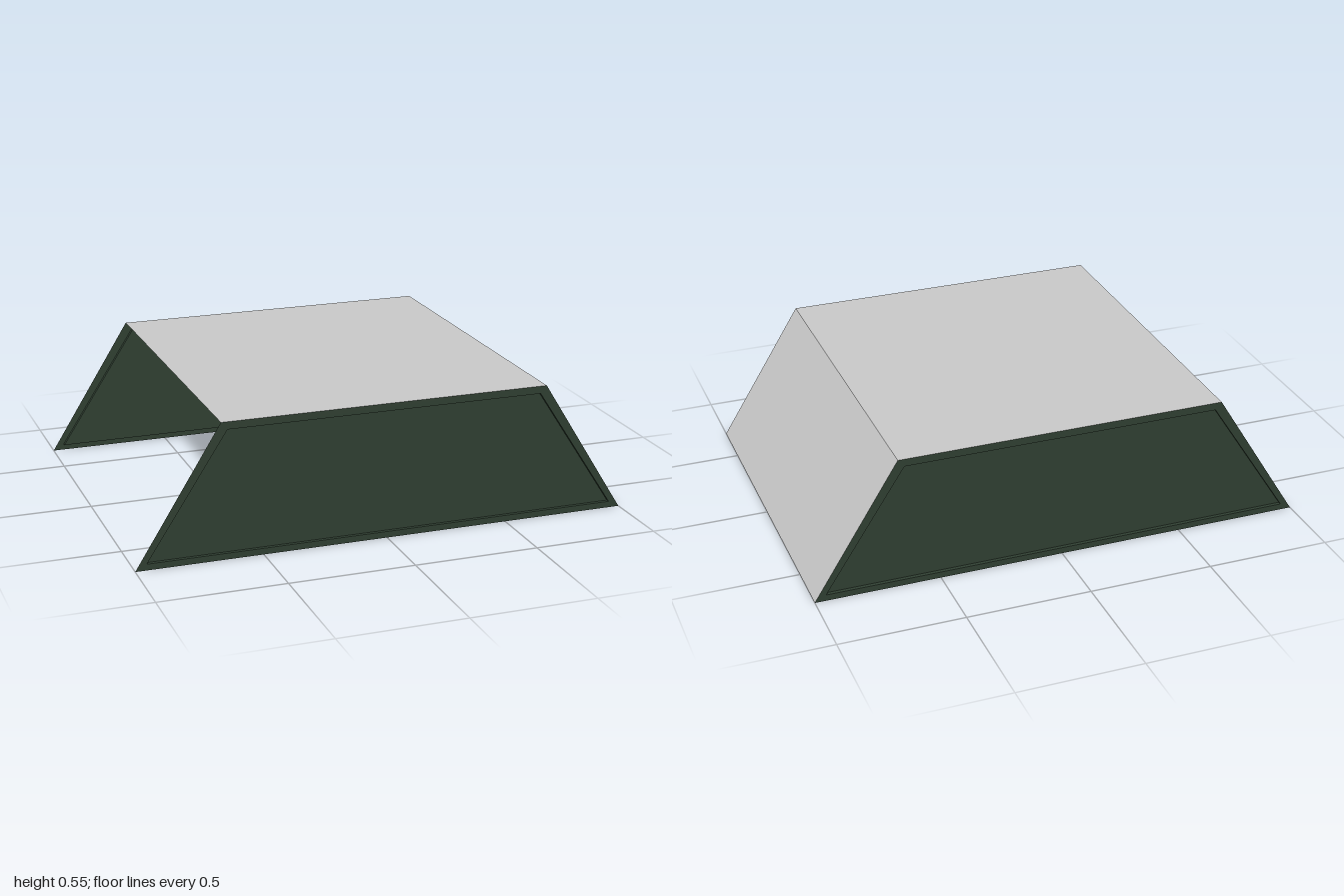
import * as THREE from 'three';

const DEPTH = 0.71;    // half depth of the shell
const RECESS = 0.015;  // how far the side panels are set in

// Corners of the trapezoid, counter-clockwise seen from +z
const OUTER = [[-1, 0], [1, 0], [0.66, 0.545], [-0.66, 0.545]];
const INNER = [[-0.955, 0.025], [0.955, 0.025], [0.635, 0.515], [-0.635, 0.515]];

const grey = new THREE.MeshStandardMaterial({ color: 0xcccccc, side: THREE.DoubleSide, flatShading: true });
const green = new THREE.MeshStandardMaterial({ color: 0x314133, side: THREE.DoubleSide, flatShading: true });

// Flat four-cornered faces, each given as a counter-clockwise list of points
function quads(name, material, faces) {
  const positions = faces.flatMap(([a, b, c, d]) => [a, b, c, a, c, d].flat());
  const geometry = new THREE.BufferGeometry();
  geometry.setAttribute('position', new THREE.Float32BufferAttribute(positions, 3));
  geometry.computeVertexNormals();
  const mesh = new THREE.Mesh(geometry, material);
  mesh.name = name;
  return mesh;
}

// Green end wall: flat rim, short step inwards, recessed panel
function endWall(name) {
  const rim = OUTER.map(([x, y]) => [x, y, DEPTH]);
  const lip = INNER.map(([x, y]) => [x, y, DEPTH]);
  const back = INNER.map(([x, y]) => [x, y, DEPTH - RECESS]);
  const ring = (a, b) => a.map((p, i) => [p, a[(i + 1) % 4], b[(i + 1) % 4], b[i]]);
  const wall = new THREE.Group();
  wall.name = name;
  wall.add(
    quads('rim', green, ring(rim, lip)),
    quads('recessStep', green, ring(lip, back)),
    quads('recessedPanel', green, [back])
  );
  return wall;
}

export function createModel() {
  const model = new THREE.Group();
  model.name = 'taperedShell';

  // Flat roof and one sloping side; the opposite side and the bottom stay open
  const [, [bx, by], [tx, ty]] = OUTER;
  model.add(
    quads('roof', grey, [[[-tx, ty, DEPTH], [tx, ty, DEPTH], [tx, ty, -DEPTH], [-tx, ty, -DEPTH]]]),
    quads('slopingSide', grey, [[[bx, by, DEPTH], [bx, by, -DEPTH], [tx, ty, -DEPTH], [tx, ty, DEPTH]]])
  );

  // Matching end walls at front and back
  const front = endWall('frontWall');
  const back = endWall('backWall');
  back.rotation.y = Math.PI;
  model.add(front, back);
  return model;
}
